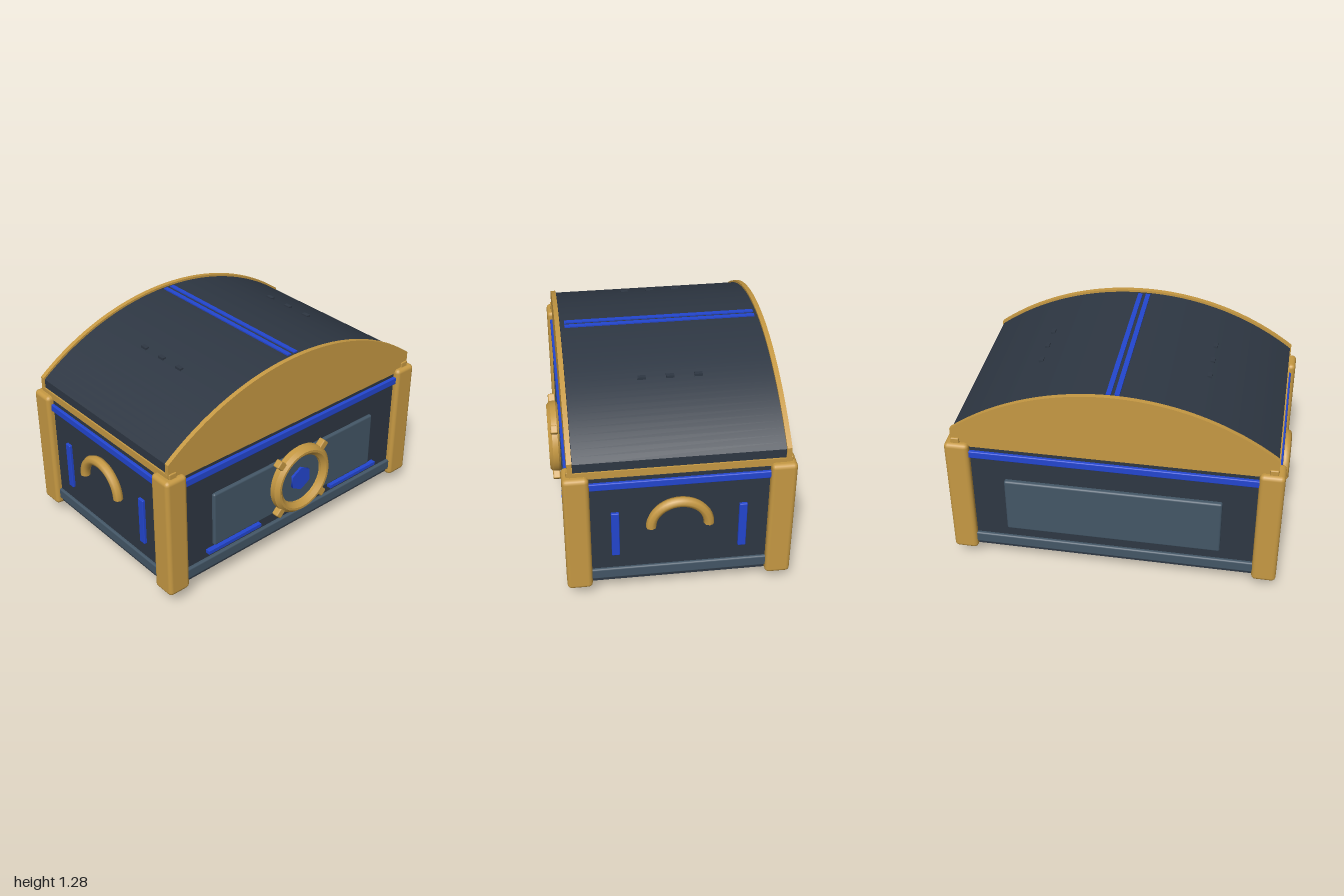
import * as THREE from 'three';
import { toCreasedNormals } from 'three/addons/utils/BufferGeometryUtils.js';
import { RoundedBoxGeometry } from 'three/addons/geometries/RoundedBoxGeometry.js';

const mat = (name, color) => {
  const m = new THREE.MeshStandardMaterial({ color });
  m.name = name;
  return m;
};

export function createModel() {
  const dark = mat('dark navy', 0x2e3743);
  const slate = mat('slate', 0x435666);
  const gold = mat('gold', 0xc69943);
  const blue = mat('blue', 0x2346d0);
  const root = new THREE.Group();
  root.name = 'chest';
  const ZC = -0.025; // centre of the body in depth

  const add = (name, geo, material, x = 0, y = 0, z = 0, parent = root) => {
    const m = new THREE.Mesh(geo, material);
    m.name = name;
    m.position.set(x, y, z);
    parent.add(m);
    return m;
  };
  // box given by its min and max on each axis
  const span = (name, material, x0, x1, y0, y1, z0, z1, r = 0) => {
    const s = [x1 - x0, y1 - y0, z1 - z0];
    const geo = r ? new RoundedBoxGeometry(...s, 2, r) : new THREE.BoxGeometry(...s);
    return add(name, geo, material, (x0 + x1) / 2, (y0 + y1) / 2, (z0 + z1) / 2);
  };

  // body with its upper and lower bands
  span('body', dark, -0.94, 0.94, 0.11, 0.85, -0.635, 0.585);
  span('upperBand', blue, -0.957, 0.957, 0.78, 0.826, -0.655, 0.605, 0.006);
  span('baseBand', slate, -0.957, 0.957, 0.135, 0.205, -0.655, 0.605, 0.01);

  // front and back panels
  span('frontPanel', slate, -0.64, 0.64, 0.275, 0.635, 0.57, 0.605, 0.012);
  span('backPanel', slate, -0.64, 0.64, 0.275, 0.635, -0.662, -0.62, 0.012);

  // lid: arched slab cut from a circular arc
  const arch = (halfW, bottom, shoulder, top) => {
    const rise = top - shoulder;
    const R = (halfW * halfW + rise * rise) / (2 * rise);
    const a = Math.asin(halfW / R);
    const s = new THREE.Shape();
    s.moveTo(-halfW, bottom);
    s.lineTo(halfW, bottom);
    s.lineTo(halfW, shoulder);
    s.absarc(0, top - R, R, Math.PI / 2 - a, Math.PI / 2 + a, false);
    s.closePath();
    return s;
  };
  const slab = (shape, depth) => toCreasedNormals(
    new THREE.ExtrudeGeometry(shape, { depth, bevelEnabled: false, curveSegments: 24 }), 0.4);
  add('lid', slab(arch(0.935, 0.89, 0.955, 1.272), 1.17), dark, 0, 0, -0.61);
  const endPlate = slab(arch(0.942, 0.85, 0.965, 1.285), 0.028);
  add('lidFrontPlate', endPlate, gold, 0, 0, 0.562);
  add('lidBackPlate', endPlate, gold, 0, 0, -0.637);
  span('lidRim', gold, -0.944, 0.944, 0.856, 0.9, -0.63, 0.58);

  for (const s of [-1, 1]) {
    // twin stripes along the crown of the lid
    span('lidStripe', blue, s * 0.024 - 0.014, s * 0.024 + 0.014, 1.265, 1.279, -0.59, 0.535);

    // small studs on the lid
    for (const z of [-0.185, -0.025, 0.135])
      add('lidStud', new THREE.BoxGeometry(0.025, 0.025, 0.046), dark, s * 0.495, 1.188, z);

    // corner posts with a tab on top
    for (const f of [-1, 1]) {
      const x = s * 0.908, z = ZC + f * 0.574;
      add('cornerPost', new RoundedBoxGeometry(0.145, 0.785, 0.146, 2, 0.025), gold, x, 0.483, z);
      add('cornerTab', new RoundedBoxGeometry(0.05, 0.06, 0.03, 1, 0.006), gold, s * 0.915, 0.877, ZC + f * 0.608);
    }

    // side handle: half ring standing out from the wall
    const handle = add('sideHandle', new THREE.TorusGeometry(0.163, 0.03, 8, 24, Math.PI), gold, s * 0.969, 0.51, -0.023);
    handle.rotation.y = Math.PI / 2;
    for (const e of [-1, 1]) {
      const cap = add('handleEnd', new THREE.CircleGeometry(0.03, 8), gold, s * 0.969, 0.51, -0.023 + e * 0.163);
      cap.rotation.x = Math.PI / 2;
    }

    // side bars and lower front bars
    for (const z of [0.338, -0.383])
      add('sideBar', new RoundedBoxGeometry(0.03, 0.305, 0.046, 1, 0.005), blue, s * 0.942, 0.457, z);
    add('frontBar', new THREE.BoxGeometry(0.4, 0.022, 0.04), blue, s * 0.49, 0.255, 0.596);

    // feet with a ring at the ground
    for (const z of [0.338, -0.383]) {
      add('foot', new THREE.CylinderGeometry(0.138, 0.138, 0.09, 24), slate, s * 0.64, 0.075, z);
      const ring = add('footRing', new THREE.TorusGeometry(0.123, 0.02, 8, 24), blue, s * 0.64, 0.02, z);
      ring.rotation.x = Math.PI / 2;
    }
  }

  // round emblem on the front
  const emblem = new THREE.Group();
  emblem.name = 'frontEmblem';
  emblem.position.set(0, 0.472, 0.6);
  root.add(emblem);
  const profile = [[0.16, 0], [0.205, 0], [0.222, 0.016], [0.222, 0.05], [0.2, 0.072],
    [0.185, 0.072], [0.16, 0.05], [0.16, 0]].map(([r, y]) => new THREE.Vector2(r, y));
  const ring = add('emblemRing', toCreasedNormals(new THREE.LatheGeometry(profile, 40), 0.5), gold, 0, 0, 0, emblem);
  ring.rotation.x = Math.PI / 2;
  const disc = add('emblemDisc', new THREE.CylinderGeometry(0.165, 0.165, 0.03, 40), slate, 0, 0, 0.015, emblem);
  disc.rotation.x = Math.PI / 2;
  const gem = add('emblemHexagon', new THREE.CylinderGeometry(0.078, 0.078, 0.03, 6), blue, 0, 0, 0.03, emblem);
  gem.rotation.x = Math.PI / 2;
  for (let i = 0; i < 4; i++) {
    const a = Math.PI / 4 + i * Math.PI / 2;
    const lug = add('emblemLug', new RoundedBoxGeometry(0.06, 0.05, 0.045, 1, 0.008), gold,
      Math.cos(a) * 0.238, Math.sin(a) * 0.238, 0.035, emblem);
    lug.rotation.z = a;
  }
  return root;
}
